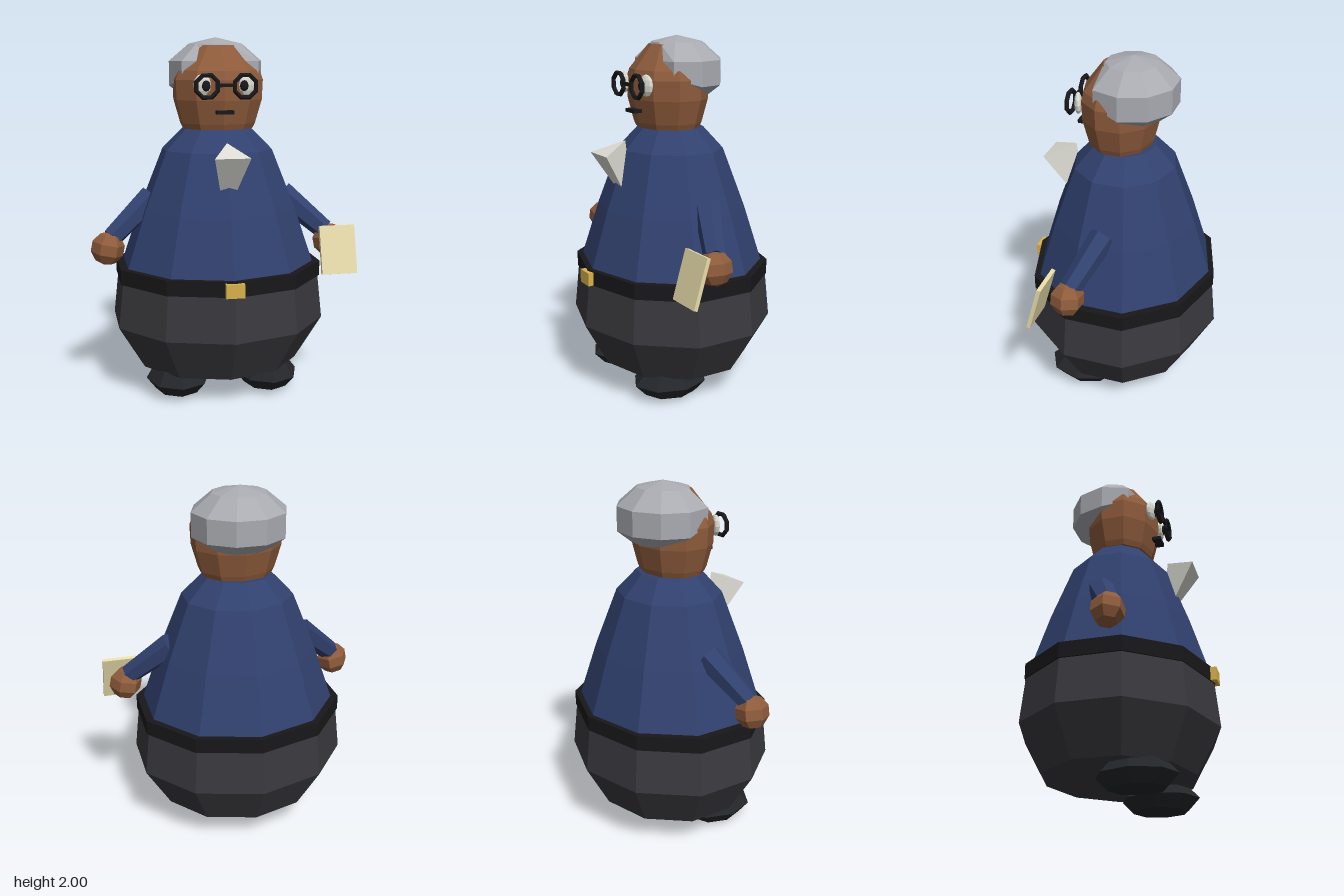
import * as THREE from 'three';
import { ConvexGeometry } from 'three/addons/geometries/ConvexGeometry.js';

const material = (color) =>
  new THREE.MeshStandardMaterial({ color, flatShading: true, side: THREE.DoubleSide });

export function createModel() {
  const model = new THREE.Group();
  const figure = new THREE.Group();
  figure.name = 'figure';
  figure.position.x = -0.01;
  model.add(figure);

  const skin = material(0x8f5c3c), shirt = material(0x31416f), dark = material(0x39393e);
  const black = material(0x18181a), grey = material(0xa9abb1), shoe = material(0x232528);
  const gold = material(0xd9b24a), paper = material(0xe8dcaa), white = material(0xdcdcd4);

  function add(name, geometry, mat, x = 0, y = 0, z = 0) {
    const mesh = new THREE.Mesh(geometry, mat);
    mesh.name = name;
    mesh.position.set(x, y, z);
    figure.add(mesh);
    return mesh;
  }

  // Ten-sided turned shape, widened across x; profile is [radius, height] from the bottom up
  function turned(profile, widen, phase = 0) {
    const points = profile.map(([r, y]) => new THREE.Vector2(r, y));
    return new THREE.LatheGeometry(points, 10, phase).scale(widen, 1, 1);
  }

  // Body
  add('trousers', turned([[0, 0.15], [0.42, 0.15], [0.557, 0.4], [0.53, 0.67], [0, 0.67]], 1.11), dark);
  add('belt', turned([[0.48, 0.65], [0.537, 0.65], [0.537, 0.735], [0.48, 0.735]], 1.12), black);
  add('shirt', turned([[0.52, 0.68], [0.506, 0.735], [0.408, 1.05], [0.287, 1.38], [0.178, 1.5], [0, 1.5]], 1.1), shirt);
  add('buckle', new THREE.BoxGeometry(0.1, 0.075, 0.07), gold, -0.005, 0.69, 0.52);

  // Neckcloth: an inverted three-sided point sunk into the chest
  const corners = [[0, 1.44, 0.29], [-0.097, 1.375, 0.455], [0.097, 1.375, 0.455], [0, 1.02, 0.235]];
  add('neckcloth', new ConvexGeometry(corners.map((c) => new THREE.Vector3(...c))), white);

  // Head
  add('head', turned([[0, 1.49], [0.17, 1.5], [0.182, 1.53], [0.214, 1.66], [0.218, 1.77],
    [0.202, 1.82], [0.1, 1.955], [0, 1.965]], 1.18), skin, 0, 0, 0.02);

  // Hair: a dome pressed back at the brow, with its lower edge rising towards the front
  const hair = turned([[0.15, 1.67], [0.17, 1.67], [0.252, 1.735], [0.252, 1.87], [0.145, 1.965], [0, 2]],
    1.05, Math.PI / 10);
  const p = hair.attributes.position;
  for (let i = 0; i < p.count; i++) {
    const y = p.getY(i), z = p.getZ(i);
    if (y < 1.9) p.setZ(i, Math.min(z, 0.18));
    if (y < 1.8) p.setY(i, y + Math.max(0, z) * 0.3);
  }
  add('hair', hair, grey, 0, 0, -0.04);

  // Face
  add('mouth', new THREE.BoxGeometry(0.095, 0.02, 0.05), black, 0, 1.6, 0.235);
  add('glassesBridge', new THREE.BoxGeometry(0.1, 0.018, 0.018), black, 0, 1.745, 0.272);

  for (const side of [-1, 1]) {
    const label = side > 0 ? 'left' : 'right';

    const eye = add(label + 'Eye', new THREE.SphereGeometry(1, 10, 6), white, side * 0.122, 1.745, 0.224);
    eye.scale.set(0.048, 0.06, 0.022);
    eye.rotation.y = side * 0.3;
    const pupil = add(label + 'Pupil', new THREE.SphereGeometry(1, 8, 6), black, side * 0.104, 1.742, 0.243);
    pupil.scale.set(0.024, 0.03, 0.016);
    const rim = add(label + 'GlassesRim', new THREE.TorusGeometry(0.062, 0.013, 5, 8), black,
      side * 0.104, 1.74, 0.272);
    rim.rotation.z = Math.PI / 8;

    // Arm from the flank down to the hand
    const shoulder = new THREE.Vector3(side * 0.38, 1.11, 0);
    const wrist = new THREE.Vector3(side * 0.615, 0.905, 0.105);
    const along = wrist.clone().sub(shoulder);
    const middle = shoulder.clone().lerp(wrist, 0.5);
    const arm = add(label + 'Arm', new THREE.CylinderGeometry(0.058, 0.075, along.length(), 6), shirt,
      middle.x, middle.y, middle.z);
    arm.quaternion.setFromUnitVectors(new THREE.Vector3(0, 1, 0), along.normalize());

    const hand = add(label + 'Hand', new THREE.SphereGeometry(0.095, 6, 5), skin, side * 0.637, 0.85, 0.115);
    hand.rotation.z = side * 0.2;

    const foot = add(label + 'Shoe', new THREE.SphereGeometry(1, 8, 4), shoe, side * 0.258, 0.095, 0.16);
    foot.scale.set(0.18, 0.095, 0.22);
  }

  // Book held in front of the left hand
  const book = add('book', new THREE.BoxGeometry(0.205, 0.275, 0.022), paper, 0.647, 0.82, 0.265);
  book.rotation.x = -0.28;

  return model;
}
